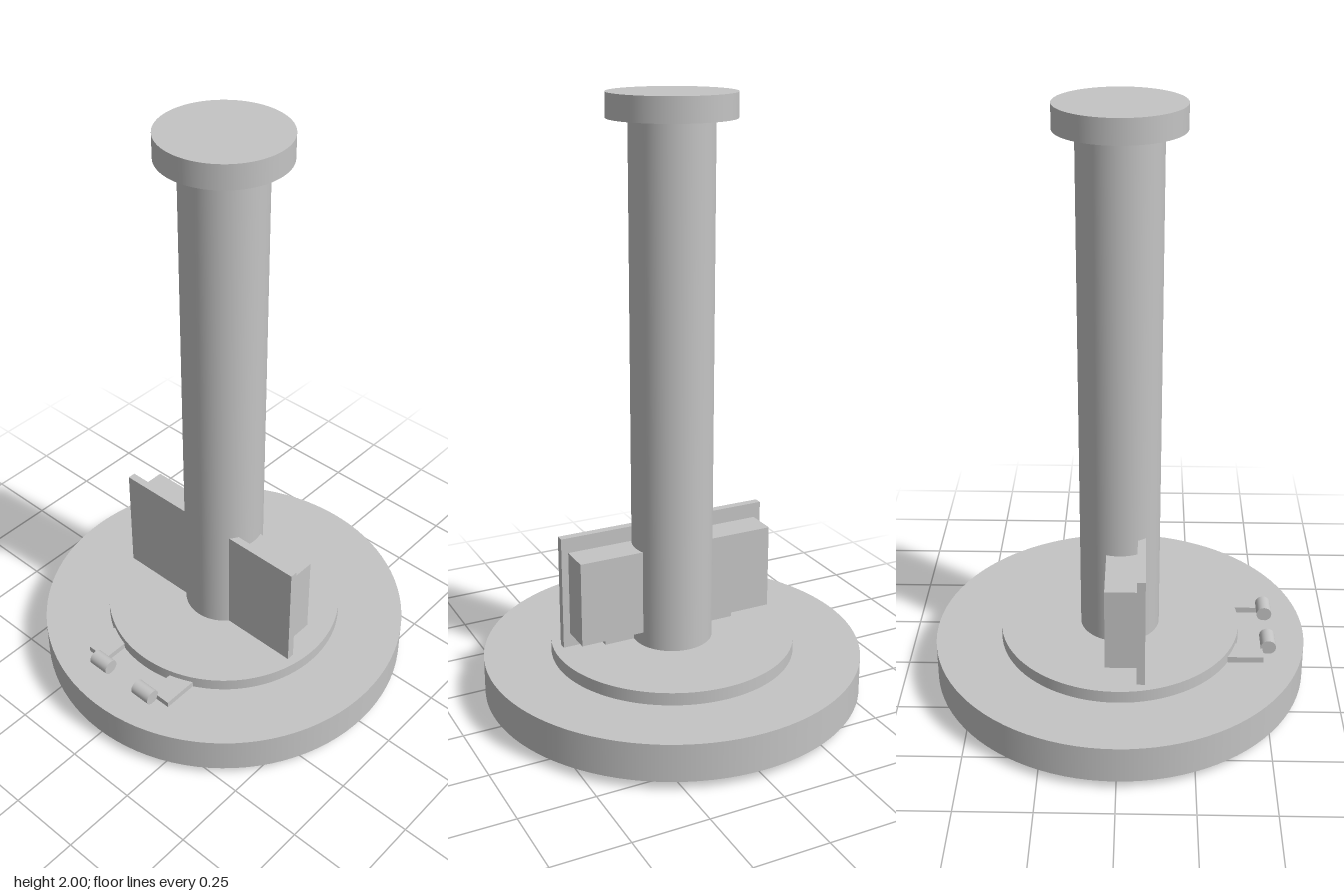
import * as THREE from 'three';

export function createModel() {
  const model = new THREE.Group();
  model.name = 'columnOnRoundBase';

  const grey = new THREE.MeshStandardMaterial({ color: 0xc4c4c4 });
  grey.name = 'light grey';

  const add = (name, geometry) => {
    const mesh = new THREE.Mesh(geometry, grey);
    mesh.name = name;
    model.add(mesh);
    return mesh;
  };

  // Upright disc or column between two heights
  const disc = (name, radius, y0, y1) =>
    add(name, new THREE.CylinderGeometry(radius, radius, y1 - y0, 96)).position.y = (y0 + y1) / 2;

  // Box given by its limits on each axis
  const block = (name, [x0, x1], [y0, y1], [z0, z1]) =>
    add(name, new THREE.BoxGeometry(x1 - x0, y1 - y0, Math.abs(z1 - z0)))
      .position.set((x0 + x1) / 2, (y0 + y1) / 2, (z0 + z1) / 2);

  // Small cylinder lying along z
  const roller = (name, radius, length, x, y, z) => {
    const geometry = new THREE.CylinderGeometry(radius, radius, length, 32).rotateX(Math.PI / 2);
    add(name, geometry).position.set(x, y, z);
  };

  // Turned body
  disc('base', 0.638, 0.028, 0.155);
  disc('turntable', 0.411, 0.155, 0.198);
  disc('column', 0.135, 0.198, 1.922);
  disc('cap', 0.203, 1.922, 2);

  // Pin under the base
  roller('bottomPin', 0.021, 0.122, 0, 0.021, 0);

  // Matching fittings at the front and back
  for (const [side, s] of [['front', 1], ['back', -1]]) {
    block(side + 'Panel', [-0.088, -0.061], [0.198, 0.588], [0.09 * s, 0.372 * s]);
    block(side + 'Box', [-0.061, 0.043], [0.246, 0.536], [0.115 * s, 0.348 * s]);
    block(side + 'Bracket', [-0.061, -0.018], [0.198, 0.228], [0.115 * s, 0.24 * s]);
    block(side + 'Arm', [-0.487, -0.36], [0.155, 0.176], [0.108 * s, 0.187 * s]);
    roller(side + 'Roller', 0.026, 0.074, -0.507, 0.18, 0.099 * s);
  }

  return model;
}
